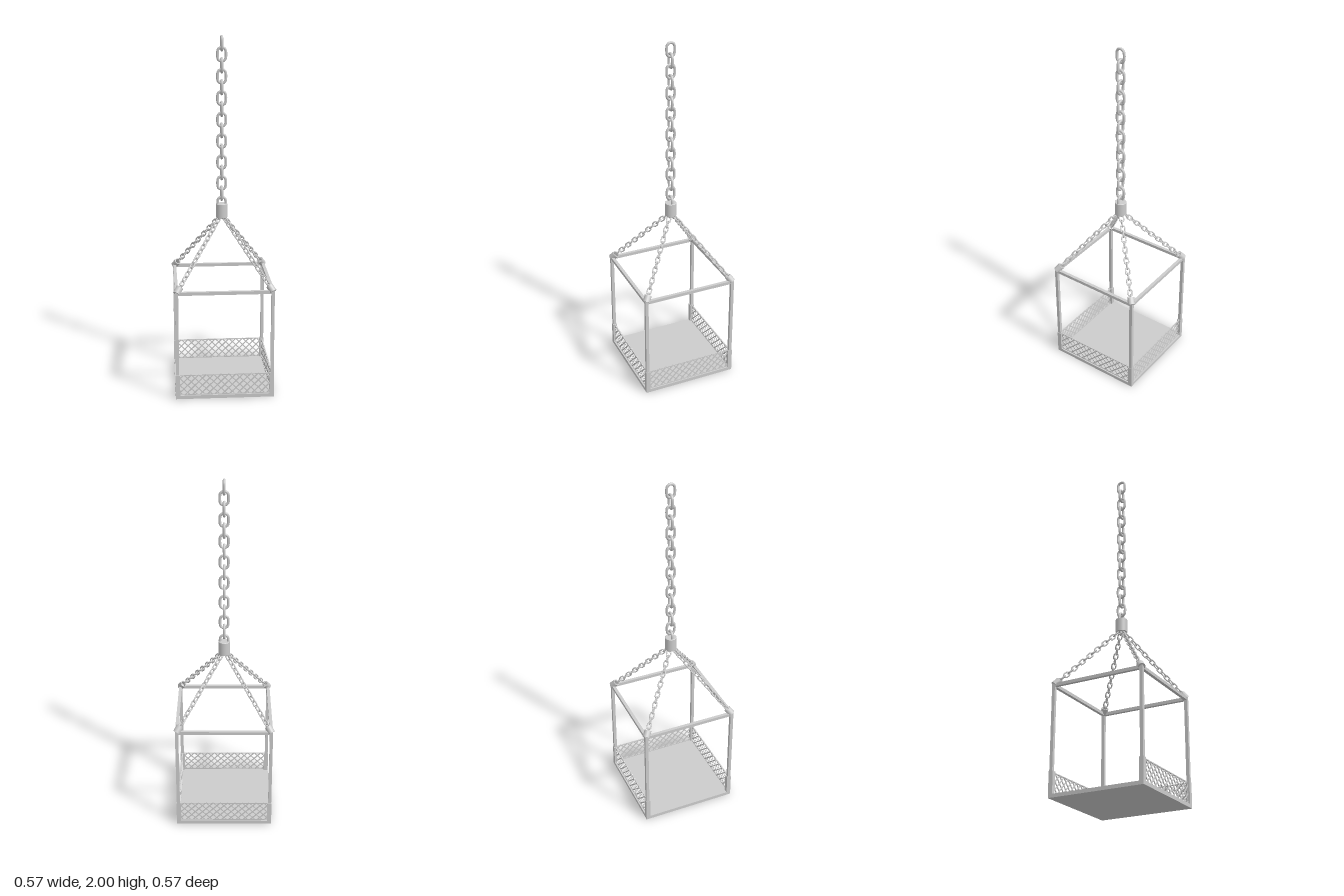
import * as THREE from 'three';

const grey = new THREE.MeshStandardMaterial({ color: 0xcccccc });
const HALF = 0.275, BAR = 0.018, MID = HALF - BAR / 2;

function mesh(name, geometry, parent, x = 0, y = 0, z = 0) {
  const m = new THREE.Mesh(geometry, grey);
  m.name = name;
  m.position.set(x, y, z);
  parent.add(m);
  return m;
}

function group(name, parent) {
  const g = new THREE.Group();
  g.name = name;
  parent.add(g);
  return g;
}

// Oval chain link standing along y, wide in x
function linkGeometry() {
  const r = 0.0225, straight = 0.015, pts = [];
  for (let end = 0; end < 2; end++) {
    for (let i = 0; i <= 6; i++) {
      const a = Math.PI * (end + i / 6);
      pts.push(new THREE.Vector3(r * Math.cos(a), r * Math.sin(a) + (end ? -straight : straight), 0));
    }
  }
  const path = new THREE.CatmullRomCurve3(pts, true, 'centripetal');
  return new THREE.TubeGeometry(path, 32, 0.0075, 8, true);
}

// Row of links hanging down from y = 0, each turned a quarter from the last
function addChain(parent, geometry, count, pitch, scale, firstTurn) {
  for (let i = 0; i < count; i++) {
    const link = mesh('chainLink', geometry, parent, 0, -i * pitch, 0);
    link.rotation.y = ((i + firstTurn) % 2) * Math.PI / 2;
    link.scale.setScalar(scale);
  }
}

// Diagonal wire lattice clipped to a rectangle, with a thin border
function addLattice(parent) {
  const w = 0.504, h = 0.12, pitch = 0.042, y0 = 0.02;
  for (const dir of [1, -1]) {
    for (let s = -w / 2 - h + pitch / 2; s < w / 2; s += pitch) {
      const xa = Math.max(s, -w / 2), xb = Math.min(s + h, w / 2);
      const ya = xa - s, yb = xb - s;
      if (xb - xa < 0.006) continue;
      const wire = mesh('latticeWire', new THREE.BoxGeometry((xb - xa) * Math.SQRT2, 0.006, 0.004),
        parent, dir * (xa + xb) / 2, y0 + (ya + yb) / 2, dir * 0.001);
      wire.rotation.z = dir * Math.PI / 4;
    }
  }
  for (const y of [y0 + 0.002, y0 + h - 0.002]) {
    mesh('latticeBorder', new THREE.BoxGeometry(w, 0.005, 0.007), parent, 0, y, 0);
  }
}

export function createModel() {
  const model = new THREE.Group();
  model.name = 'hangingCage';
  const link = linkGeometry();

  // Floor plate
  mesh('floor', new THREE.BoxGeometry(0.554, 0.02, 0.554), model, 0, 0.01, 0);

  // Corner posts with thicker feet
  const frame = group('frame', model);
  for (const sx of [-1, 1]) {
    for (const sz of [-1, 1]) {
      mesh('post', new THREE.BoxGeometry(BAR, 0.6, BAR), frame, sx * MID, 0.32, sz * MID);
      mesh('postFoot', new THREE.BoxGeometry(0.025, 0.142, 0.025), frame, sx * 0.2645, 0.071, sz * 0.2645);
    }
  }

  // Top rails
  for (const s of [-1, 1]) {
    mesh('topRail', new THREE.BoxGeometry(2 * HALF, BAR, BAR), frame, 0, 0.62, s * MID);
    mesh('topRail', new THREE.BoxGeometry(BAR, BAR, 2 * HALF), frame, s * MID, 0.62, 0);
  }

  // Lattice guards on three sides; the -x side is the open entrance
  for (const turn of [0, 1, 2]) {
    const pivot = group('latticeGuard', model);
    pivot.rotation.y = turn * Math.PI / 2;
    const panel = group('latticePanel', pivot);
    panel.position.z = 0.265;
    addLattice(panel);
  }

  // Hub gathering the chains
  const hub = [[0, 0.982], [0.031, 0.982], [0.033, 0.984], [0.033, 1.06], [0.031, 1.062], [0, 1.062]];
  const corners = [];
  hub.forEach(([r, y], i) => {
    corners.push(new THREE.Vector2(r, y));
    if (i > 0 && i < hub.length - 1) corners.push(new THREE.Vector2(r, y));
  });
  mesh('hub', new THREE.LatheGeometry(corners, 24), model);

  // Main hanging chain
  const mainChain = group('mainChain', model);
  mainChain.position.y = 1.955;
  addChain(mainChain, link, 16, 0.0595, 1, 1);

  // Hollow sleeve, closed at its lower end
  const sleeve = [[0, -0.02], [0.02, -0.02], [0.02, -0.02], [0.02, 0.02], [0.02, 0.02],
    [0.014, 0.02], [0.014, 0.02], [0.014, -0.005], [0.014, -0.005], [0, -0.005]]
    .map(([r, y]) => new THREE.Vector2(r, y));
  const sleeveGeometry = new THREE.LatheGeometry(sleeve, 16);

  // Four sling chains from the hub to the corner sleeves
  for (let k = 0; k < 4; k++) {
    const pivot = group('sling', model);
    pivot.rotation.y = Math.PI / 4 + k * Math.PI / 2;
    const sling = group('slingLine', pivot);
    sling.position.set(0, 0.636, 0.257 * Math.SQRT2);
    sling.rotation.x = -Math.PI / 4;
    mesh('cornerSleeve', sleeveGeometry, sling);
    const chain = group('slingChain', sling);
    chain.position.y = 0.5;
    addChain(chain, link, 17, 0.0303, 0.51, 1);
  }
  return model;
}
